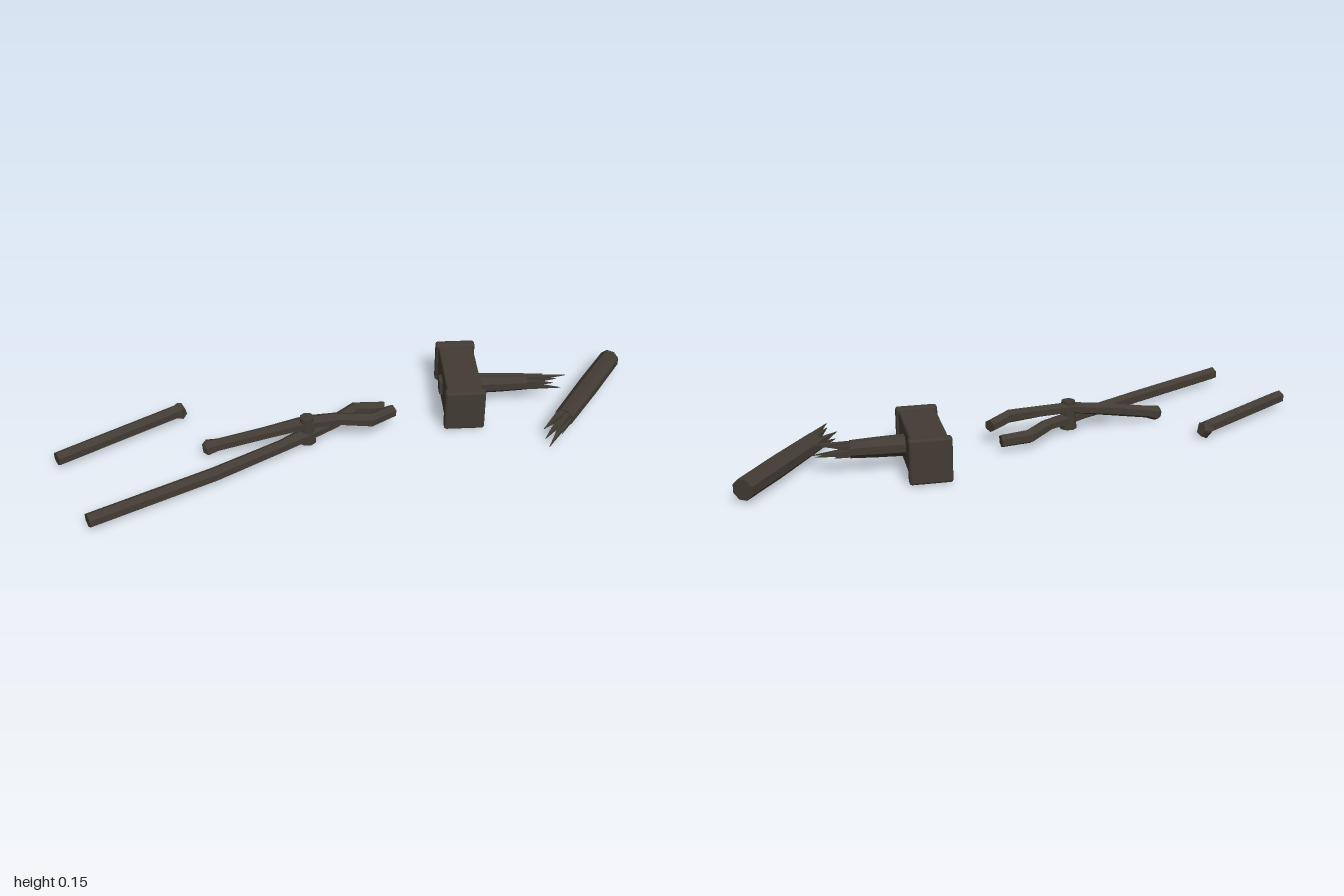
import * as THREE from 'three';
import { RoundedBoxGeometry } from 'three/addons/geometries/RoundedBoxGeometry.js';

const iron = new THREE.MeshStandardMaterial({ color: 0x423b33 });
iron.name = 'dark iron brown';

// Faceted bar through stations [x, y, z, halfWidth, halfHeight], closed at both ends
function bar(stations, sides) {
  const pts = stations.map(s => new THREE.Vector3(s[0], s[1], s[2]));
  const up = new THREE.Vector3(0, 1, 0);
  const rings = stations.map((s, i) => {
    const dir = pts[Math.min(i + 1, pts.length - 1)].clone().sub(pts[Math.max(i - 1, 0)]).normalize();
    const side = dir.clone().cross(up).normalize();
    const top = side.clone().cross(dir).normalize();
    return Array.from({ length: sides }, (_, j) => {
      const a = (j + 0.5) / sides * Math.PI * 2;
      return pts[i].clone()
        .addScaledVector(side, Math.cos(a) * s[3])
        .addScaledVector(top, Math.sin(a) * (s[4] ?? s[3]));
    });
  });
  const tris = [];
  const last = rings.length - 1;
  for (let j = 0; j < sides; j++) {
    const k = (j + 1) % sides;
    for (let i = 0; i < last; i++) {
      const a = rings[i], b = rings[i + 1];
      tris.push(a[j], b[j], b[k], a[j], b[k], a[k]);
    }
    tris.push(pts[0], rings[0][j], rings[0][k]);
    tris.push(pts[last], rings[last][k], rings[last][j]);
  }
  const g = new THREE.BufferGeometry().setFromPoints(tris);
  g.computeVertexNormals();
  return g;
}

function add(parent, name, geometry, x = 0, y = 0, z = 0) {
  const m = new THREE.Mesh(geometry, iron);
  m.name = name;
  m.position.set(x, y, z);
  parent.add(m);
  return m;
}

// Broken wooden end: pointed splinters around the +x axis, [angle, length]
function splinters(parent, x, radius, list) {
  list.forEach(([angle, len]) => {
    const y = Math.sin(angle), z = Math.cos(angle);
    add(parent, 'splinter', bar([
      [x - 0.03, y * radius * 0.5, z * radius * 0.5, radius * 0.45],
      [x + len * 0.4, y * radius * 0.62, z * radius * 0.62, radius * 0.3],
      [x + len, y * radius * 0.85, z * radius * 0.85, 0.001]
    ], 4));
  });
}

function createHammer() {
  const hammer = new THREE.Group();
  hammer.name = 'brokenHammer';
  hammer.position.set(0.375, 0.08, -0.016);
  hammer.rotation.y = -0.368;
  add(hammer, 'hammerHead', new RoundedBoxGeometry(0.122, 0.138, 0.29, 2, 0.008));
  for (const s of [-1, 1])
    add(hammer, 'strikingFace', new RoundedBoxGeometry(0.138, 0.15, 0.034, 2, 0.009), 0, 0, s * 0.148);
  // Handle end poking through the far side
  add(hammer, 'handleWedge', new THREE.BoxGeometry(0.02, 0.05, 0.045), -0.062, 0, 0);

  const stub = new THREE.Group();
  stub.name = 'handleStub';
  add(stub, 'stubShaft', bar([[0.04, 0, 0, 0.036], [0.15, 0, 0, 0.033], [0.235, 0, 0, 0.029]], 8));
  splinters(stub, 0.235, 0.03, [[0.3, 0.09], [1.4, 0.135], [2.4, 0.06], [3.5, 0.11], [4.5, 0.05], [5.5, 0.12]]);
  hammer.add(stub);
  return hammer;
}

function createBrokenHandle() {
  const handle = new THREE.Group();
  handle.name = 'brokenHandle';
  handle.position.set(0.973, 0.046, 0.028);
  handle.rotation.y = Math.PI + Math.atan2(0.24, 0.345);
  add(handle, 'handleShaft', bar([[0, 0, 0, 0.036], [0.2, 0, 0, 0.037], [0.42, 0, 0, 0.034]], 8));
  splinters(handle, 0.42, 0.035, [[0.2, 0.1], [1.2, 0.07], [2.3, 0.12], [3.3, 0.08], [4.3, 0.14], [5.3, 0.11]]);
  return handle;
}

function createTongs() {
  const tongs = new THREE.Group();
  tongs.name = 'brokenTongs';
  // Lower arm: full-length rein, flattened at the pivot, bent jaw
  add(tongs, 'lowerArm', bar([
    [-0.98, 0.037, 0.105, 0.024], [-0.55, 0.037, 0.052, 0.024],
    [-0.3, 0.042, 0.01, 0.022], [-0.2, 0.046, -0.013, 0.029, 0.021],
    [-0.1, 0.048, -0.032, 0.025, 0.02], [0.005, 0.044, -0.078, 0.024],
    [0.1, 0.038, -0.05, 0.022]
  ], 6));
  // Upper arm: snapped short, climbing over the lower one
  add(tongs, 'upperArm', bar([
    [-0.51, 0.032, -0.097, 0.022], [-0.34, 0.064, -0.052, 0.022],
    [-0.2, 0.088, -0.02, 0.029, 0.02], [-0.1, 0.088, 0.004, 0.025, 0.02],
    [0.005, 0.078, 0.046, 0.024], [0.1, 0.07, 0.018, 0.022]
  ], 6));
  add(tongs, 'pivotRivet', new THREE.CylinderGeometry(0.024, 0.03, 0.1, 8), -0.2, 0.063, -0.016);
  add(tongs, 'snappedEnd', bar([
    [-0.538, 0.026, -0.106, 0.016], [-0.525, 0.028, -0.102, 0.03, 0.027], [-0.49, 0.036, -0.092, 0.022]
  ], 6));
  return tongs;
}

function createBrokenRein() {
  const rein = new THREE.Group();
  rein.name = 'brokenRein';
  add(rein, 'reinBar', bar([[-0.995, 0.036, -0.237, 0.024], [-0.55, 0.036, -0.329, 0.024]], 6));
  // Torn, flared tip
  add(rein, 'tornTip', bar([
    [-0.572, 0.036, -0.325, 0.022], [-0.548, 0.031, -0.332, 0.031, 0.031],
    [-0.53, 0.036, -0.334, 0.019, 0.024]
  ], 5));
  return rein;
}

export function createModel() {
  const model = new THREE.Group();
  model.name = 'brokenSmithTools';
  model.add(createHammer(), createBrokenHandle(), createTongs(), createBrokenRein());
  return model;
}
